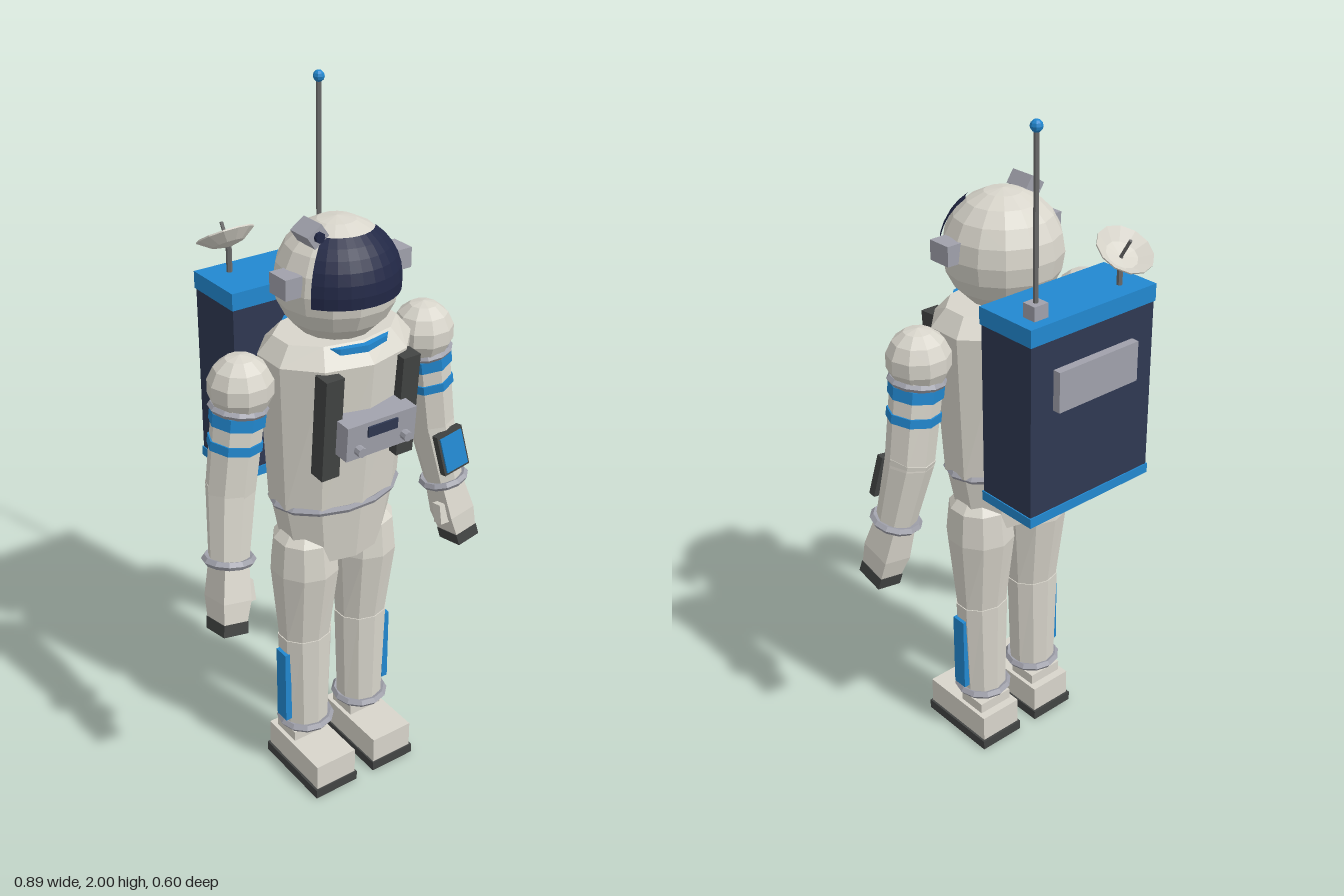
import * as THREE from 'three';

const paint = (name, color) => {
  const m = new THREE.MeshStandardMaterial({ color, flatShading: true });
  m.name = name;
  return m;
};

// Closed low-poly body from elliptical rings [y, rx, rz, zCentre], listed bottom to top
function loft(rings, n, turn = 0) {
  const pos = [], idx = [];
  rings.forEach(([y, rx, rz, zc = 0]) => {
    for (let j = 0; j < n; j++) {
      const t = (j / n) * Math.PI * 2 + turn;
      pos.push(Math.sin(t) * rx, y, zc + Math.cos(t) * rz);
    }
  });
  const last = rings.length - 1;
  for (let i = 0; i < last; i++) {
    for (let j = 0; j < n; j++) {
      const k = (j + 1) % n;
      const a = i * n + j, b = i * n + k, c = b + n, d = a + n;
      idx.push(a, b, c, a, c, d);
    }
  }
  for (let j = 1; j < n - 1; j++) {
    idx.push(0, j + 1, j);
    idx.push(last * n, last * n + j, last * n + j + 1);
  }
  const g = new THREE.BufferGeometry();
  g.setAttribute('position', new THREE.Float32BufferAttribute(pos, 3));
  g.setIndex(idx);
  const flat = g.toNonIndexed();
  flat.computeVertexNormals();
  return flat;
}

const box = (w, h, d) => new THREE.BoxGeometry(w, h, d);
const tube = (r, h, n = 8) => new THREE.CylinderGeometry(r, r, h, n);
const ring = (r, t, n = 12) => new THREE.TorusGeometry(r, t, 5, n).rotateX(Math.PI / 2);

function add(parent, name, geo, mat, p = [0, 0, 0], r = [0, 0, 0]) {
  const m = new THREE.Mesh(geo, mat);
  m.name = name;
  m.position.set(...p);
  m.rotation.set(...r);
  parent.add(m);
  return m;
}

function group(parent, name, p = [0, 0, 0], r = [0, 0, 0]) {
  const g = new THREE.Group();
  g.name = name;
  g.position.set(...p);
  g.rotation.set(...r);
  parent.add(g);
  return g;
}

// Group at point a whose local -y axis points at b
function segment(parent, name, a, b) {
  const g = group(parent, name, a);
  const dir = new THREE.Vector3(...b).sub(new THREE.Vector3(...a));
  g.userData.length = dir.length();
  g.quaternion.setFromUnitVectors(new THREE.Vector3(0, -1, 0), dir.normalize());
  return g;
}

export function createModel() {
  const suit = paint('suit', 0xd8d5cb);
  const blue = paint('blue trim', 0x2288d0);
  const navy = paint('pack navy', 0x2f3852);
  const glass = paint('visor glass', 0x222846);
  const grey = paint('hardware grey', 0xa0a1ab);
  const dark = paint('dark rubber', 0x424443);
  const pole = paint('pole grey', 0x6c6c6c);
  const model = new THREE.Group();
  model.name = 'astronaut';

  // Torso, collar, belt and pelvis
  const body = group(model, 'body');
  add(body, 'torso', loft([[0.945, 0.198, 0.132, 0.068], [1.38, 0.22, 0.17, 0.07],
    [1.43, 0.18, 0.12, 0.07]], 10), suit);
  add(body, 'collar', tube(0.147, 0.035, 12), blue, [0, 1.407, 0.067]);
  add(body, 'belt', ring(0.188, 0.012, 14).scale(1, 1, 0.69), grey, [0, 0.945, 0.068]);
  add(body, 'pelvis', loft([[0.765, 0.155, 0.108, 0.068], [0.945, 0.192, 0.128, 0.068]], 10), suit);

  // Chest unit
  const chest = group(body, 'chestUnit', [0, 1.2, 0.235], [0.07, 0, 0]);
  add(chest, 'chestBox', box(0.22, 0.1, 0.085), grey);
  add(chest, 'chestScreen', box(0.094, 0.03, 0.008), navy, [0, 0.022, 0.044]);

  // Helmet
  const head = group(model, 'helmet', [0, 1.563, 0.073]);
  add(head, 'helmetShell', new THREE.SphereGeometry(0.164, 14, 10), suit);
  const half = 1.0;
  add(head, 'visor', new THREE.SphereGeometry(0.169, 10, 6, Math.PI / 2 - half, half * 2, 0.61, 1.1), glass);
  const lamp = group(head, 'helmetLamp', [-0.1, 0.147, 0.026], [0, 0, 0.6]);
  add(lamp, 'lampBody', box(0.05, 0.04, 0.076), grey);
  add(lamp, 'lampLens', tube(0.014, 0.012).rotateX(Math.PI / 2), glass, [0, 0, 0.042]);

  // Backpack
  const pack = group(model, 'backpack', [0, 0, -0.18]);
  add(pack, 'packBody', box(0.425, 0.49, 0.185), navy, [0, 1.22, 0]);
  add(pack, 'packTop', box(0.432, 0.048, 0.192), blue, [0, 1.487, 0]);
  add(pack, 'packBottom', box(0.432, 0.028, 0.192), blue, [0, 0.962, 0]);
  add(pack, 'packPanel', box(0.275, 0.113, 0.024), grey, [0, 1.323, -0.104]);

  // Antenna
  const antenna = group(pack, 'antenna', [0.155, 1.51, -0.045]);
  add(antenna, 'antennaBase', box(0.045, 0.04, 0.042), grey, [0, 0.02, 0]);
  add(antenna, 'antennaPole', tube(0.007, 0.44, 6), pole, [0, 0.255, 0]);
  add(antenna, 'antennaTip', new THREE.SphereGeometry(0.016, 8, 6), blue, [0, 0.474, 0]);

  // Tilted dish on a short post
  add(pack, 'dishPost', tube(0.008, 0.08, 6), pole, [-0.14, 1.547, -0.038]);
  const dish = group(pack, 'dish', [-0.14, 1.58, -0.035], [-0.55, 0, 0]);
  const bowl = [[0, 0], [0.045, 0.01], [0.08, 0.034], [0.08, 0.038], [0.045, 0.016], [0, 0.008]];
  add(dish, 'dishBowl', new THREE.LatheGeometry(bowl.map(q => new THREE.Vector2(...q)), 12), suit);
  add(dish, 'dishFeed', tube(0.005, 0.07, 6), pole, [0, 0.035, 0]);

  for (const s of [1, -1]) {
    const side = s > 0 ? 'left' : 'right';
    add(body, side + 'Strap', box(0.055, 0.295, 0.05), dark, [s * 0.121, 1.225, 0.207], [0.07, 0, 0]);
    add(chest, side + 'Knob', tube(0.014, 0.022).rotateX(Math.PI / 2), grey, [s * 0.074, -0.022, 0.052]);
    add(head, side + 'EarUnit', box(0.05, 0.055, 0.072), grey, [s * 0.17, 0.027, 0.024]);

    // Leg and boot
    const leg = group(model, side + 'Leg', [s * 0.1, 0, 0]);
    add(leg, 'thigh', loft([[0.49, 0.079, 0.07, 0.067], [0.72, 0.098, 0.103, 0.068],
      [0.82, 0.088, 0.092, 0.068], [0.87, 0.045, 0.05, 0.068]], 10), suit);
    add(leg, 'shin', loft([[0.175, 0.071, 0.068, 0.067], [0.49, 0.082, 0.073, 0.067]], 10), suit);
    add(leg, 'ankleRing', ring(0.073, 0.013), grey, [0, 0.174, 0.068]);
    add(leg, 'shinStripe', box(0.02, 0.24, 0.046), blue, [s * 0.077, 0.323, 0.072]);
    add(leg, 'bootCuff', box(0.112, 0.045, 0.092), suit, [s * 0.003, 0.123, 0.052]);
    add(leg, 'boot', box(0.136, 0.085, 0.252), suit, [s * 0.003, 0.07, 0.107]);
    add(leg, 'sole', box(0.147, 0.03, 0.264), dark, [s * 0.004, 0.015, 0.106]);

    // Arm: shoulder, upper arm, forearm, hand
    const arm = group(model, side + 'Arm');
    const top = [s * 0.302, 1.28, 0.07], elbow = [s * 0.335, 1.05, 0.072];
    const wrist = [s * 0.367, 0.86, 0.104], tip = [s * 0.405, 0.665, 0.145];
    add(arm, 'shoulder', new THREE.SphereGeometry(0.088, 10, 7), suit, [s * 0.293, 1.335, 0.07]);

    const upper = segment(arm, 'upperArm', top, elbow);
    const ul = upper.userData.length;
    add(upper, 'upperSleeve', loft([[-ul - 0.01, 0.067, 0.067], [0.02, 0.071, 0.071]], 8), suit);
    add(upper, 'shoulderRing', ring(0.069, 0.011), grey);
    add(upper, 'upperBand', tube(0.075, 0.034), blue, [0, -0.027, 0]);
    add(upper, 'lowerBand', tube(0.074, 0.025), blue, [0, -0.099, 0]);

    const fore = segment(arm, 'forearm', elbow, wrist);
    const fl = fore.userData.length;
    add(fore, 'foreSleeve', loft([[-fl, 0.056, 0.056], [0.015, 0.068, 0.068]], 8), suit);
    add(fore, 'wristRing', ring(0.062, 0.012), grey, [0, -fl, 0]);
    if (s > 0) {
      add(fore, 'wristDisplay', box(0.09, 0.125, 0.022), dark, [0, -0.085, 0.068]);
      add(fore, 'wristScreen', box(0.076, 0.108, 0.008), blue, [0, -0.085, 0.08]);
    }

    const hand = segment(arm, 'hand', wrist, tip);
    const hl = hand.userData.length;
    const q = Math.PI / 4, w = Math.SQRT1_2;
    add(hand, 'glove', loft([[-hl + 0.03, 0.036 / w, 0.044 / w], [-0.11, 0.043 / w, 0.05 / w],
      [0, 0.037 / w, 0.042 / w]], 4, q), suit);
    add(hand, 'fingertips', box(0.076, 0.034, 0.092), dark, [0, -hl + 0.016, 0]);
    add(hand, 'thumb', box(0.028, 0.06, 0.034), suit, [-s * 0.05, -0.092, 0.015], [0, 0, -s * 0.2]);
  }
  return model;
}
